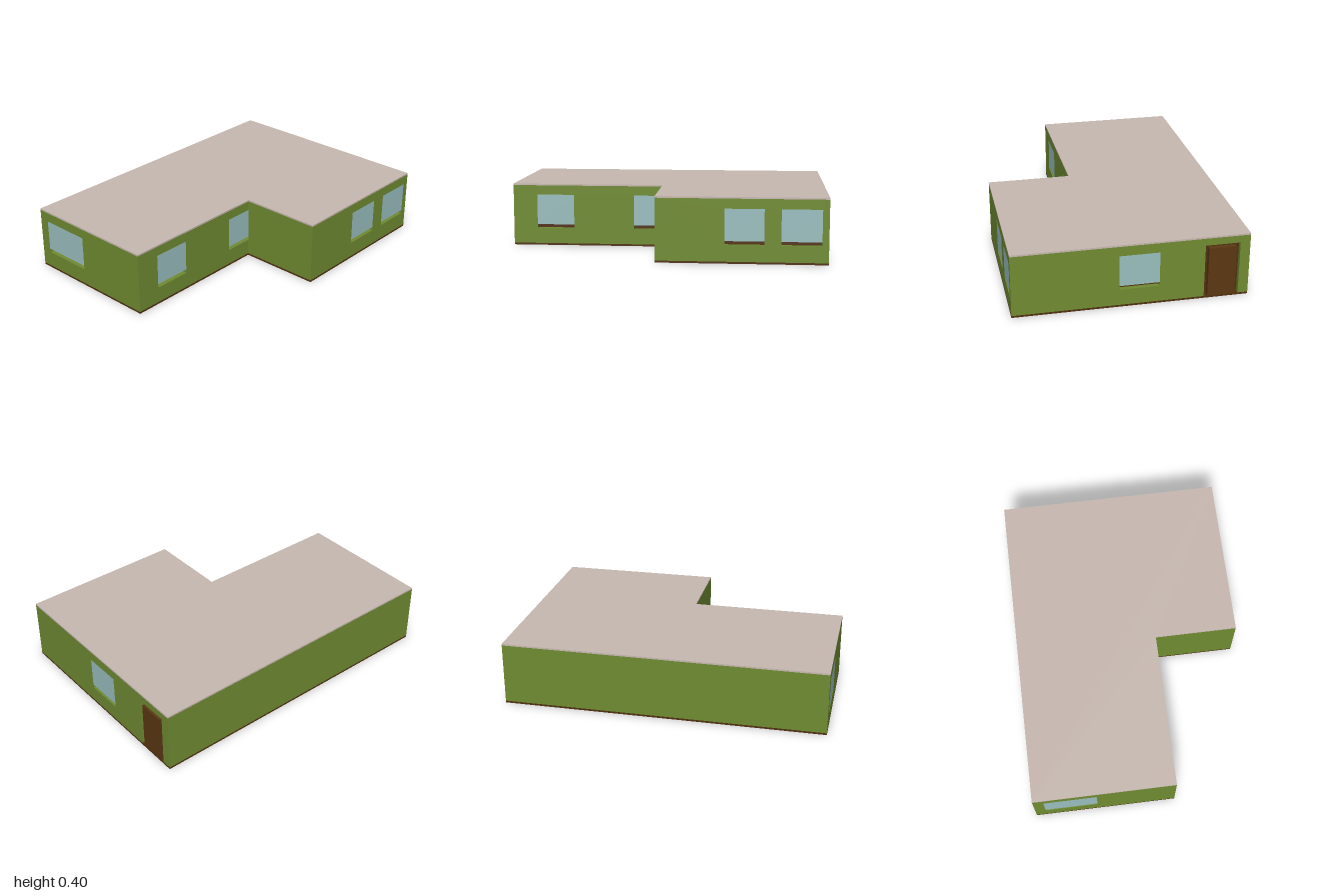
import * as THREE from 'three';

const T = 0.03;              // wall thickness
const Y0 = 0.012, Y1 = 0.39; // wall bottom and top
const SILL = 0.112, GLASS = 0.136, HEAD = 0.33;

const mat = (color) => new THREE.MeshStandardMaterial({ color });
const green = mat(0x708c32), glass = mat(0x9bbfc0), brown = mat(0x52310f);
const roofMat = mat(0xc8b9b1), doorMat = mat(0x5c3813);

function mesh(name, geometry, material) {
  const m = new THREE.Mesh(geometry, material);
  m.name = name;
  return m;
}

// L-shaped footprint slab, inset from the outline
function slab(name, y0, y1, inset, material) {
  const i = inset;
  const points = [
    [-0.705 + i, -1 + i], [0.705 - i, -1 + i], [0.705 - i, 0.03 - i],
    [0.185 - i, 0.03 - i], [0.185 - i, 1 - i], [-0.705 + i, 1 - i],
  ].map(([x, z]) => new THREE.Vector2(x, -z));
  const geo = new THREE.ExtrudeGeometry(new THREE.Shape(points), { depth: y1 - y0, bevelEnabled: false });
  geo.rotateX(-Math.PI / 2).translate(0, y0, 0);
  return mesh(name, geo, material);
}

// Wall along local x with its outer face at local z = 0
function wall(name, u0, u1, windows = [], door = null) {
  const group = new THREE.Group();
  group.name = name;
  const shape = new THREE.Shape();
  shape.moveTo(u0, Y0);
  if (door) {
    const [a, b, top] = door;
    shape.lineTo(a, Y0);
    shape.lineTo(a, top);
    shape.lineTo(b, top);
    shape.lineTo(b, Y0);
    // Door leaf with a gap at the sides and top
    const gap = 0.022;
    const leaf = new THREE.BoxGeometry(b - a - 2 * gap, top - gap - Y0, T);
    leaf.translate((a + b) / 2, (top - gap + Y0) / 2, -T / 2);
    group.add(mesh('door', leaf, doorMat));
  }
  shape.lineTo(u1, Y0);
  shape.lineTo(u1, Y1);
  shape.lineTo(u0, Y1);
  shape.closePath();
  for (const [a, b] of windows) {
    const hole = new THREE.Path();
    hole.moveTo(a, SILL);
    hole.lineTo(a, HEAD);
    hole.lineTo(b, HEAD);
    hole.lineTo(b, SILL);
    hole.closePath();
    shape.holes.push(hole);
    // Pane flush with the wall, leaving an open slot below it
    const pane = new THREE.BoxGeometry(b - a, HEAD - GLASS, T);
    pane.translate((a + b) / 2, (HEAD + GLASS) / 2, -T / 2);
    group.add(mesh('windowPane', pane, glass));
  }
  const geo = new THREE.ExtrudeGeometry(shape, { depth: T, bevelEnabled: false });
  geo.translate(0, 0, -T);
  group.add(mesh('wallPanel', geo, green));
  return group;
}

export function createModel() {
  const model = new THREE.Group();
  model.name = 'house';
  const place = (group, x, z, turn) => {
    group.position.set(x, 0, z);
    group.rotation.y = turn * Math.PI / 2;
    model.add(group);
  };

  // Floor, roof and dark interior
  model.add(slab('floor', 0, Y0, 0, brown));
  model.add(slab('roof', Y1, 0.4, 0, roofMat));
  model.add(slab('interior', Y0, Y1, 0.05, brown));

  // Walls facing front and back
  place(wall('frontWall', -0.705, 0.185, [[-0.64, -0.31]]), 0, 1, 0);
  place(wall('notchWall', 0.185, 0.705), 0, 0.03, 0);
  place(wall('backWall', -0.705, 0.705, [[-0.075, 0.165]], [0.435, 0.645, 0.345]), 0, -1, 2);

  // Walls facing sideways
  place(wall('wingWall', -1 + T, 0.06, [[-0.845, -0.605], [-0.215, 0.025]]), 0.185, 0, 1);
  place(wall('rightWall', 0, 1 - T, [[0.385, 0.62], [0.72, 0.96]]), 0.705, 0, 1);
  place(wall('leftWall', -1 + T, 1 - T), -0.705, 0, -1);

  return model;
}
